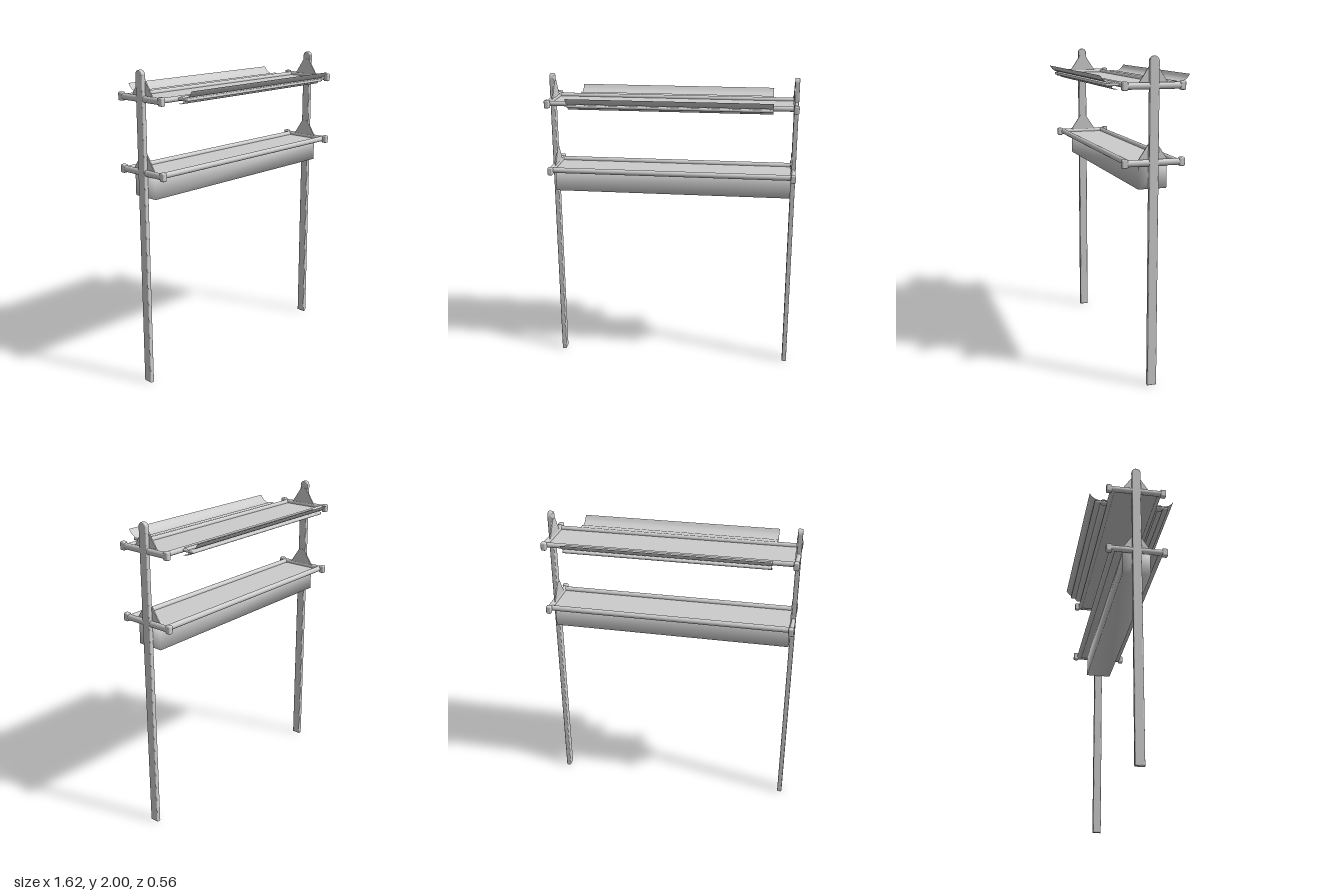
import * as THREE from 'three';
import { RoundedBoxGeometry } from 'three/addons/geometries/RoundedBoxGeometry.js';
import { mergeVertices } from 'three/addons/utils/BufferGeometryUtils.js';

const grey = new THREE.MeshStandardMaterial({ color: 0xcccccc });
const thin = new THREE.MeshStandardMaterial({ color: 0xcccccc, side: THREE.DoubleSide });

function add(parent, name, geometry, x = 0, y = 0, z = 0, material = grey) {
  const mesh = new THREE.Mesh(geometry, material);
  mesh.name = name;
  mesh.position.set(x, y, z);
  parent.add(mesh);
  return mesh;
}

// Side outline (z, y) extruded along x and centred on x = 0
function sideExtrude(shape, width, bevel = 0) {
  const depth = width - 2 * bevel;
  const g = new THREE.ExtrudeGeometry(shape, {
    depth, bevelEnabled: bevel > 0, bevelSize: bevel, bevelThickness: bevel,
    bevelOffset: -bevel, bevelSegments: 3, curveSegments: 16,
  });
  g.translate(0, 0, -depth / 2);
  g.rotateY(-Math.PI / 2);
  return g;
}

// Open sheet swept along x from a smooth (z, y) profile
function sheet(points, length) {
  const pts = new THREE.SplineCurve(points.map(p => new THREE.Vector2(...p))).getPoints(24);
  const g = new THREE.PlaneGeometry(length, 1, 1, pts.length - 1);
  const pos = g.attributes.position;
  for (let i = 0; i < pos.count; i++) {
    const p = pts[Math.floor(i / 2)];
    pos.setXYZ(i, pos.getX(i), p.y, p.x);
  }
  g.computeVertexNormals();
  return g;
}

// Flat-sided post with a round top
function postGeometry() {
  const r = 0.029;
  const s = new THREE.Shape();
  s.moveTo(-r, 0);
  s.lineTo(r, 0);
  s.lineTo(r, 2 - r);
  s.absarc(0, 2 - r, r, 0, Math.PI);
  s.closePath();
  return sideExtrude(s, 0.03, 0.006);
}

// Triangular plate above an arm
function gussetGeometry() {
  const s = new THREE.Shape();
  s.moveTo(-0.09, 0);
  s.lineTo(0.09, 0);
  s.lineTo(0.02, 0.105);
  s.lineTo(-0.02, 0.105);
  s.closePath();
  return sideExtrude(s, 0.008);
}

function createShelf(name, y, railRadius) {
  const shelf = new THREE.Group();
  shelf.name = name;
  shelf.position.y = y;
  add(shelf, 'shelfBoard', new THREE.BoxGeometry(1.56, 0.008, 0.29), 0, -0.008, 0);
  const rail = new THREE.CylinderGeometry(railRadius, railRadius, 1.58, 24).rotateZ(Math.PI / 2);
  const arm = new THREE.CylinderGeometry(0.02, 0.02, 0.34, 24).rotateX(Math.PI / 2).scale(0.8, 1, 1);
  const cap = new RoundedBoxGeometry(0.034, 0.053, 0.036, 3, 0.009);
  const gusset = gussetGeometry();
  for (const side of [-1, 1]) {
    add(shelf, 'rail', rail, 0, 0, side * 0.15);
    add(shelf, 'arm', arm, side * 0.793, 0, 0);
    add(shelf, 'gusset', gusset, side * 0.781, 0.015, 0);
    for (const end of [-1, 1]) add(shelf, 'armCap', cap, side * 0.793, 0, end * 0.176);
  }
  return shelf;
}

// Flared sheet with a slim bar, clipped along a rail
function createSideTrim() {
  const trim = new THREE.Group();
  trim.name = 'sideTrim';
  const length = 1.3;
  const wing = [[0.205, 1.838], [0.232, 1.843], [0.26, 1.859], [0.28, 1.885]];
  const clip = [[0.165, 1.843], [0.188, 1.847], [0.205, 1.838], [0.207, 1.815], [0.192, 1.802], [0.168, 1.802]];
  add(trim, 'trimWing', sheet(wing, length), 0, 0, 0, thin);
  add(trim, 'trimClip', sheet(clip, length), 0, 0, 0, thin);
  add(trim, 'trimBar', new RoundedBoxGeometry(length, 0.018, 0.085, 3, 0.008), 0, 1.83, 0.203);
  return trim;
}

export function createModel() {
  const model = new THREE.Group();
  model.name = 'shelfRack';

  const post = postGeometry();
  for (const side of [-1, 1]) add(model, 'post', post, side * 0.795, 0, 0);

  model.add(createShelf('upperShelf', 1.83, 0.016));
  model.add(createShelf('lowerShelf', 1.385, 0.018));

  // Softly shaded box hanging under the lower shelf
  const box = new THREE.BoxGeometry(1.56, 0.145, 0.176);
  box.deleteAttribute('uv');
  box.deleteAttribute('normal');
  const soft = mergeVertices(box);
  soft.computeVertexNormals();
  add(model, 'hangingBox', soft, 0, 1.3, 0);

  // Trims along the front and back of the upper shelf
  for (const turn of [0, Math.PI]) {
    const trim = createSideTrim();
    trim.rotation.y = turn;
    model.add(trim);
  }
  return model;
}
